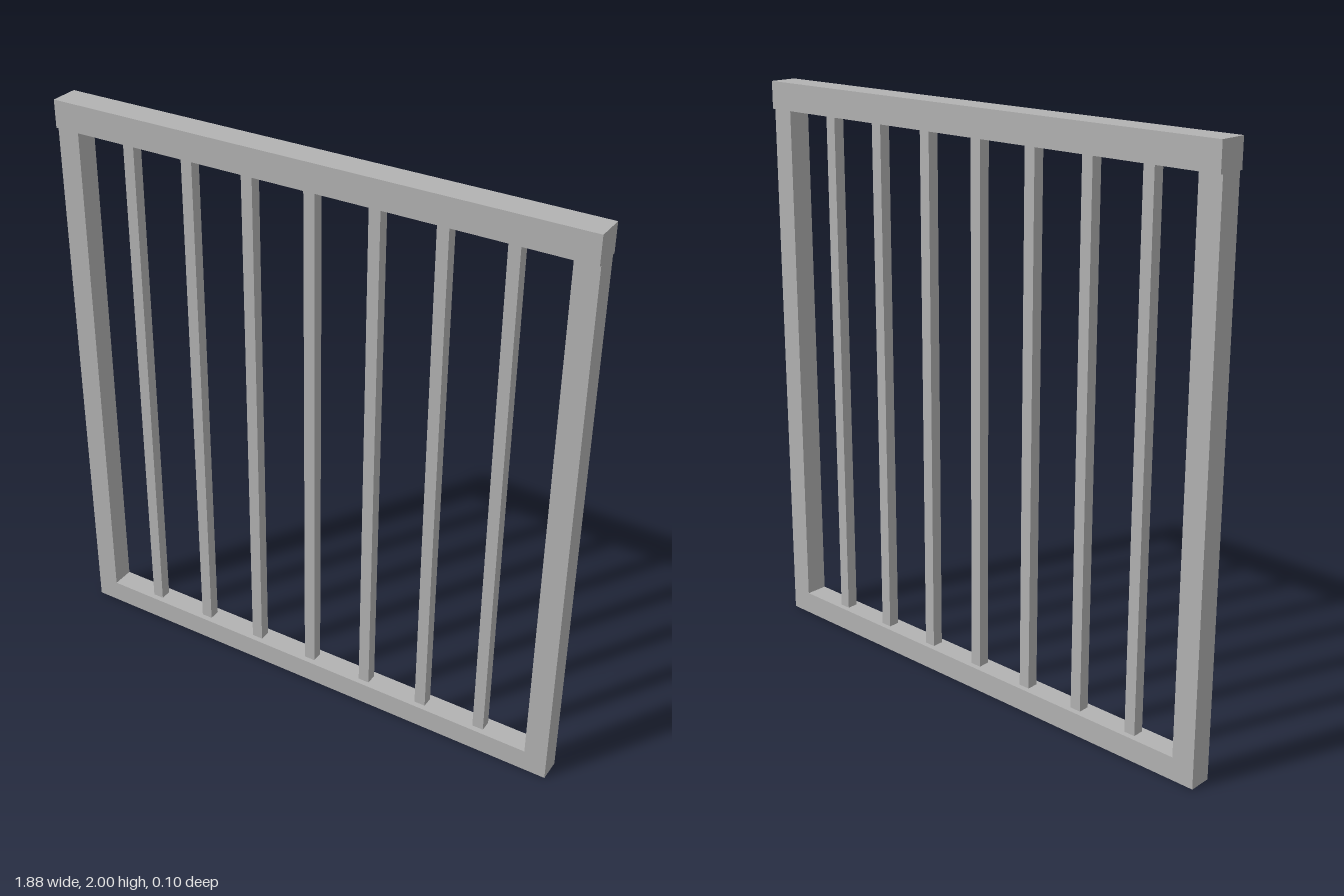
import * as THREE from 'three';

const HALF_W = 0.94;      // half the overall width
const FRAME = 0.08;       // post and bottom rail thickness
const RAIL_BOTTOM = 1.905; // underside of the top rail
const BAR = 0.04;         // square bar thickness
const BAR_COUNT = 7;
const BAR_STEP = 0.225;

export function createModel() {
  const model = new THREE.Group();
  model.name = 'railingPanel';

  const grey = new THREE.MeshStandardMaterial({ color: 0xb2b2b2 });
  grey.name = 'greyMetal';

  // Box standing on the given base height
  function addBox(name, w, h, d, x, baseY, parent = model) {
    const mesh = new THREE.Mesh(new THREE.BoxGeometry(w, h, d), grey);
    mesh.name = name;
    mesh.position.set(x, baseY + h / 2, 0);
    parent.add(mesh);
  }

  // Top rail, slightly deeper than the frame below
  addBox('topRail', HALF_W * 2, 2 - RAIL_BOTTOM, 0.1, 0, RAIL_BOTTOM);

  // Side posts
  for (const [name, side] of [['leftPost', 1], ['rightPost', -1]]) {
    addBox(name, FRAME, RAIL_BOTTOM, FRAME, side * (HALF_W - FRAME / 2), 0);
  }

  // Bottom rail between the posts
  addBox('bottomRail', (HALF_W - FRAME) * 2, FRAME, FRAME, 0, 0);

  // Evenly spaced upright bars
  const bars = new THREE.Group();
  bars.name = 'bars';
  for (let i = 0; i < BAR_COUNT; i++) {
    const x = (i - (BAR_COUNT - 1) / 2) * BAR_STEP;
    addBox('bar' + (i + 1), BAR, RAIL_BOTTOM - FRAME, BAR, x, FRAME, bars);
  }
  model.add(bars);

  return model;
}
